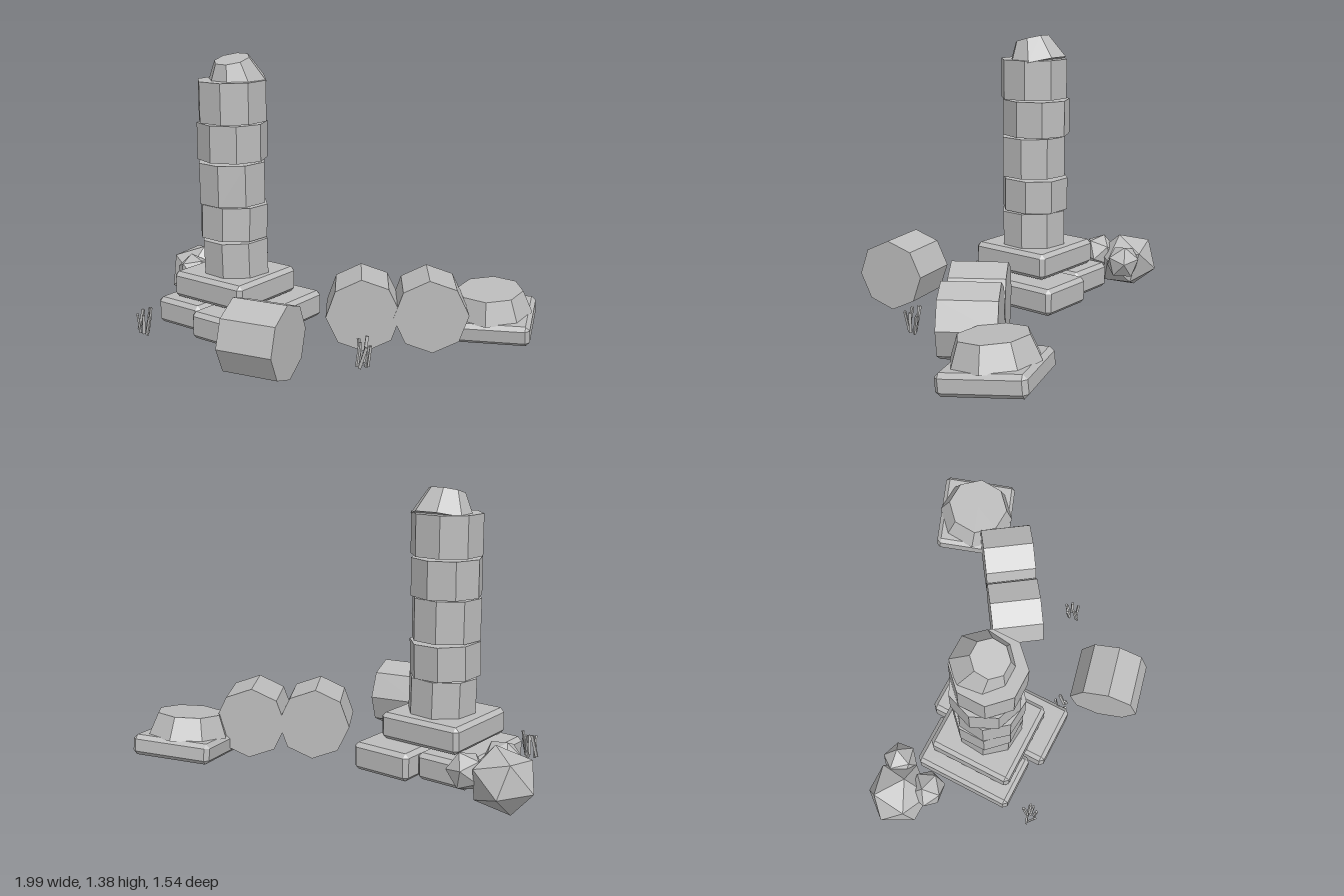
import * as THREE from 'three';
import { ConvexGeometry } from 'three/addons/geometries/ConvexGeometry.js';

const stone = new THREE.MeshStandardMaterial({ color: 0xbcbcbc, flatShading: true });
stone.name = 'stone grey';

function add(parent, name, geometry, [x, y, z], [rx, ry, rz] = [0, 0, 0]) {
  const mesh = new THREE.Mesh(geometry, stone);
  mesh.name = name;
  mesh.position.set(x, y, z);
  mesh.rotation.set(rx, ry, rz);
  parent.add(mesh);
  return mesh;
}

// Block with chamfered edges and corners
function slab(w, h, d, b = 0.02) {
  const points = [];
  for (const sx of [-1, 1]) for (const sy of [-1, 1]) for (const sz of [-1, 1]) {
    for (let axis = 0; axis < 3; axis++) {
      const half = [w, h, d].map((s, i) => s / 2 - (i === axis ? 0 : b));
      points.push(new THREE.Vector3(half[0] * sx, half[1] * sy, half[2] * sz));
    }
  }
  return new ConvexGeometry(points);
}

const octagon = (top, bottom, height) => new THREE.CylinderGeometry(top, bottom, height, 8);

export function createModel() {
  const model = new THREE.Group();
  model.name = 'ruinedColumns';

  // Stepped base
  const base = new THREE.Group();
  base.name = 'base';
  model.add(base);
  add(base, 'baseSlabRight', slab(0.275, 0.13, 0.515), [-0.513, 0.1, 0.138]);
  add(base, 'baseSlabLeft', slab(0.315, 0.135, 0.645), [-0.208, 0.098, 0.138]);
  add(base, 'plinth', slab(0.435, 0.13, 0.44), [-0.353, 0.24, 0.14]);

  // Standing column: x, z, bottom, top, radius, turn, lean
  const column = new THREE.Group();
  column.name = 'standingColumn';
  model.add(column);
  [
    [-0.343, 0.14, 0.3, 0.478, 0.168, 0.3, 0.015],
    [-0.355, 0.14, 0.487, 0.652, 0.172, 0.38, -0.012],
    [-0.352, 0.15, 0.66, 0.862, 0.17, 0.3, 0.006],
    [-0.36, 0.137, 0.87, 1.05, 0.172, 0.04, 0],
    [-0.35, 0.147, 1.058, 1.255, 0.172, 0.39, 0.004],
  ].forEach(([x, z, y0, y1, r, turn, lean], i) => {
    add(column, 'drum' + (i + 1), octagon(r, r, y1 - y0), [x, (y0 + y1) / 2, z], [lean, turn, lean]);
  });
  add(column, 'brokenTop', octagon(0.088, 0.153, 0.125).rotateY(0.39), [-0.342, 1.294, 0.137], [0.26, 0, 0]);

  // Fallen drums lying on their sides: x, z, heading
  [[0.174, 0.575, 0.22], [0.297, -0.043, -0.97], [0.56, -0.22, -0.97]].forEach(([x, z, heading], i) => {
    const drum = octagon(0.177, 0.177, 0.267).rotateY(0.06).rotateZ(-Math.PI / 2);
    add(model, 'fallenDrum' + (i + 1), drum, [x, 0.19, z], [0, heading, 0]);
  });

  // Toppled capital resting at a tilt
  const capital = new THREE.Group();
  capital.name = 'fallenCapital';
  capital.position.set(0.74, 0.092, -0.515);
  capital.rotation.set(0.115, 0, 0);
  model.add(capital);
  add(capital, 'capitalSlab', slab(0.405, 0.1, 0.395), [0, 0, 0], [0, 0.36, 0]);
  add(capital, 'capitalBell', octagon(0.16, 0.203, 0.11), [-0.003, 0.1, 0], [0, 0.36, 0]);

  // Rock pile
  const rocks = new THREE.Group();
  rocks.name = 'rocks';
  model.add(rocks);
  [
    [0.165, -0.84, 0.14, -0.12, 0.3],
    [0.095, -0.695, 0.17, -0.19, 1.1],
    [0.098, -0.76, 0.18, 0.005, 2.0],
  ].forEach(([r, x, y, z, turn], i) => {
    const rock = add(rocks, 'rock' + (i + 1), new THREE.IcosahedronGeometry(r, 0), [x, y, z], [turn, turn * 1.7, 0.2]);
    rock.scale.set(1, 0.93, 1);
  });

  // Grass tufts: fans of thin leaning blades
  [[-0.62, 0.52], [0.48, 0.22], [-0.02, 0.4]].forEach(([x, z], t) => {
    const tuft = new THREE.Group();
    tuft.name = 'grassTuft' + (t + 1);
    tuft.position.set(x, 0, z);
    tuft.rotation.y = t * 1.3;
    model.add(tuft);
    for (let i = 0; i < 6; i++) {
      const a = i * 2.4;
      const height = 0.1 + 0.012 * (i % 3);
      add(tuft, 'blade', new THREE.BoxGeometry(0.014, height, 0.01),
        [0.027 * Math.cos(a), 0.008 + height / 2 + 0.004 * i, 0.027 * Math.sin(a)],
        [0.24 * Math.sin(a), a, -0.24 * Math.cos(a)]);
    }
  });

  return model;
}
